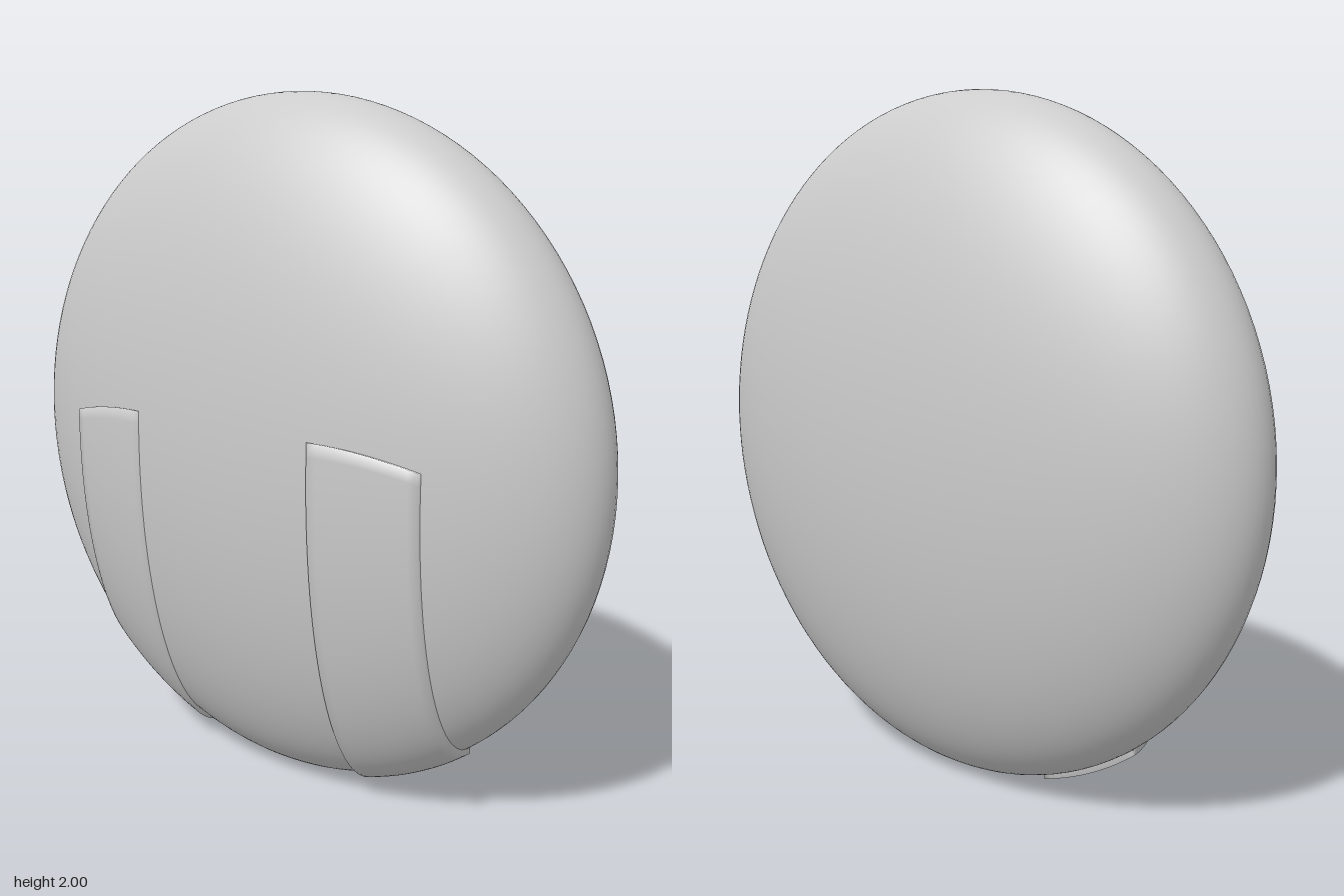
import * as THREE from 'three';

const DEPTH = 0.362; // half thickness of the body
const X_IN = 0.31, X_OUT = 0.622; // strap edges

// Curved strap hugging the lower front of the body; its border rows sink into the body as thin walls
function strapGeometry(side) {
  const nu = 14, nv = 44, pos = [], index = [];
  const clamp = THREE.MathUtils.clamp;
  for (let j = 0; j <= nv; j++) {
    for (let i = 0; i <= nu; i++) {
      const wall = i === 0 || i === nu || j === 0 || j === nv;
      const u = clamp((i - 1) / (nu - 2), 0, 1);
      const v = clamp((j - 1) / (nv - 2), 0, 1);
      const x = THREE.MathUtils.lerp(X_IN, X_OUT, u);
      const r = Math.sqrt(1 - x * x);
      const top = 0.108 - 0.043 * u * u;
      const t = THREE.MathUtils.lerp(-Math.asin(top / r), Math.PI / 2, v);
      const liftY = wall ? -0.02 : 0.019;
      const liftZ = wall ? -0.015 : 0.004 + 0.007 * u;
      pos.push(side * x, 1 - (r + liftY) * Math.sin(t), (DEPTH * r + liftZ) * Math.cos(t));
    }
  }
  for (let j = 0; j < nv; j++) {
    for (let i = 0; i < nu; i++) {
      const a = j * (nu + 1) + i, b = a + 1, c = a + nu + 1, d = c + 1;
      if (side > 0) index.push(a, c, b, b, c, d);
      else index.push(a, b, c, b, d, c);
    }
  }
  const geo = new THREE.BufferGeometry();
  geo.setAttribute('position', new THREE.Float32BufferAttribute(pos, 3));
  geo.setIndex(index);
  geo.computeVertexNormals();
  return geo;
}

export function createModel() {
  const group = new THREE.Group();
  const material = new THREE.MeshStandardMaterial({ color: 0xcccccc });

  // Flattened round body
  const body = new THREE.Mesh(new THREE.SphereGeometry(1, 96, 64), material);
  body.scale.set(1, 1, DEPTH);
  body.position.y = 1;
  body.name = 'body';
  group.add(body);

  // Mirrored pair of straps
  const strapMaterial = new THREE.MeshStandardMaterial({ color: 0xcccccc, side: THREE.DoubleSide });
  for (const side of [1, -1]) {
    const strap = new THREE.Mesh(strapGeometry(side), strapMaterial);
    strap.name = side > 0 ? 'leftStrap' : 'rightStrap';
    group.add(strap);
  }
  return group;
}
